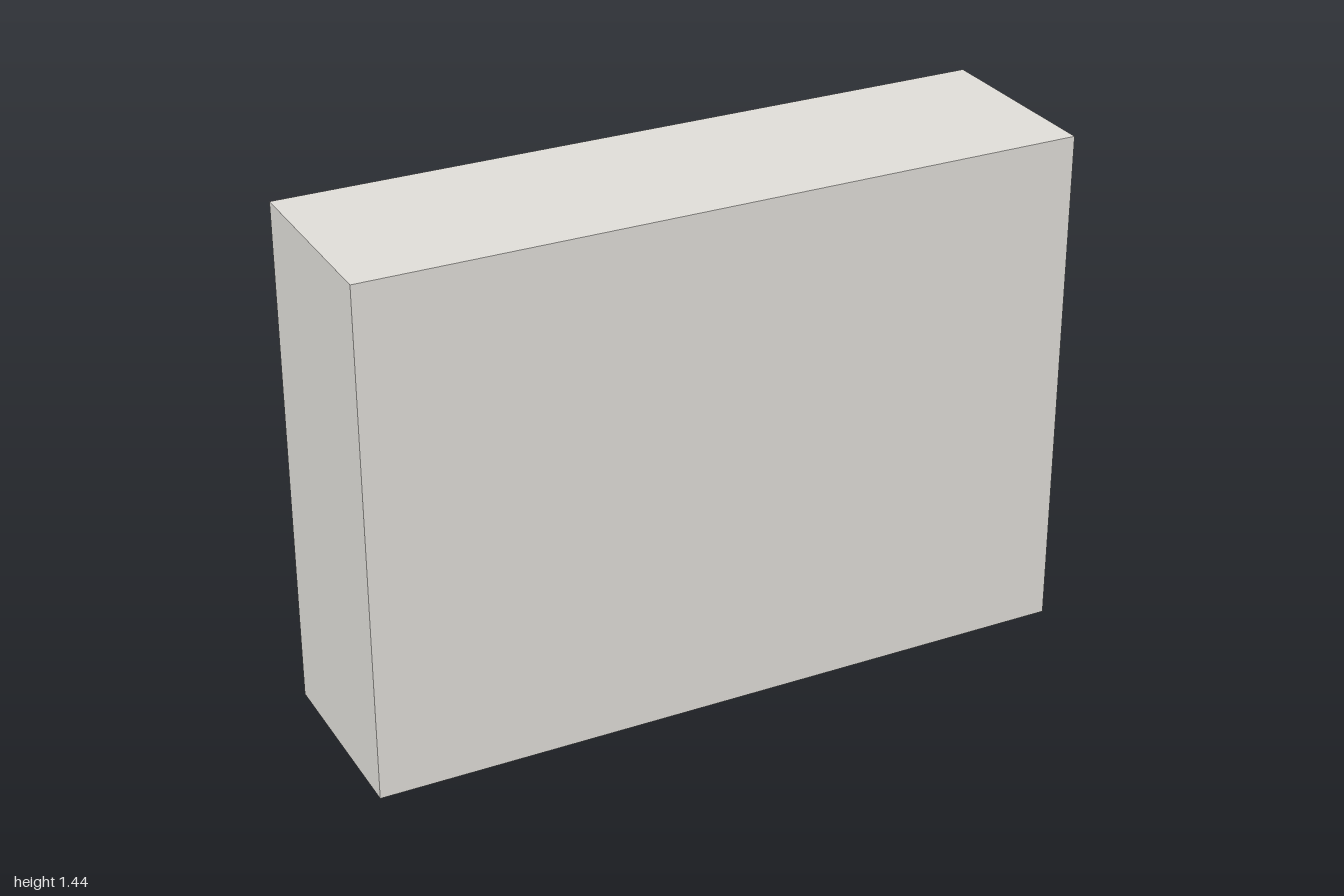
import * as THREE from 'three';

// Two-tier open bookcase; the closed panel faces +z, the shelves open toward -z.
export function createModel() {
  const W = 2, H = 1.437, D = 0.544, T = 0.036;
  const model = new THREE.Group();
  model.name = 'bookcase';
  const palePaint = new THREE.MeshStandardMaterial({ color: 0xdedcd7 });
  palePaint.name = 'pale warm grey paint';

  const addPanel = (name, size, position) => {
    const panel = new THREE.Mesh(new THREE.BoxGeometry(...size), palePaint);
    panel.name = name;
    panel.position.set(...position);
    model.add(panel);
  };

  // Closed panel across the whole front
  addPanel('closedPanel', [W, H, T], [0, H / 2, (D - T) / 2]);

  // Side walls, butted against the closed panel
  const depth = D - T, z = -T / 2;
  for (const [name, side] of [['leftSide', 1], ['rightSide', -1]]) {
    addPanel(name, [T, H, depth], [side * (W - T) / 2, H / 2, z]);
  }

  // Bottom, middle shelf and top, evenly spaced between the sides
  ['bottomBoard', 'middleShelf', 'topBoard'].forEach((name, i) => {
    addPanel(name, [W - 2 * T, T, depth], [0, T / 2 + i * (H - T) / 2, z]);
  });

  return model;
}
